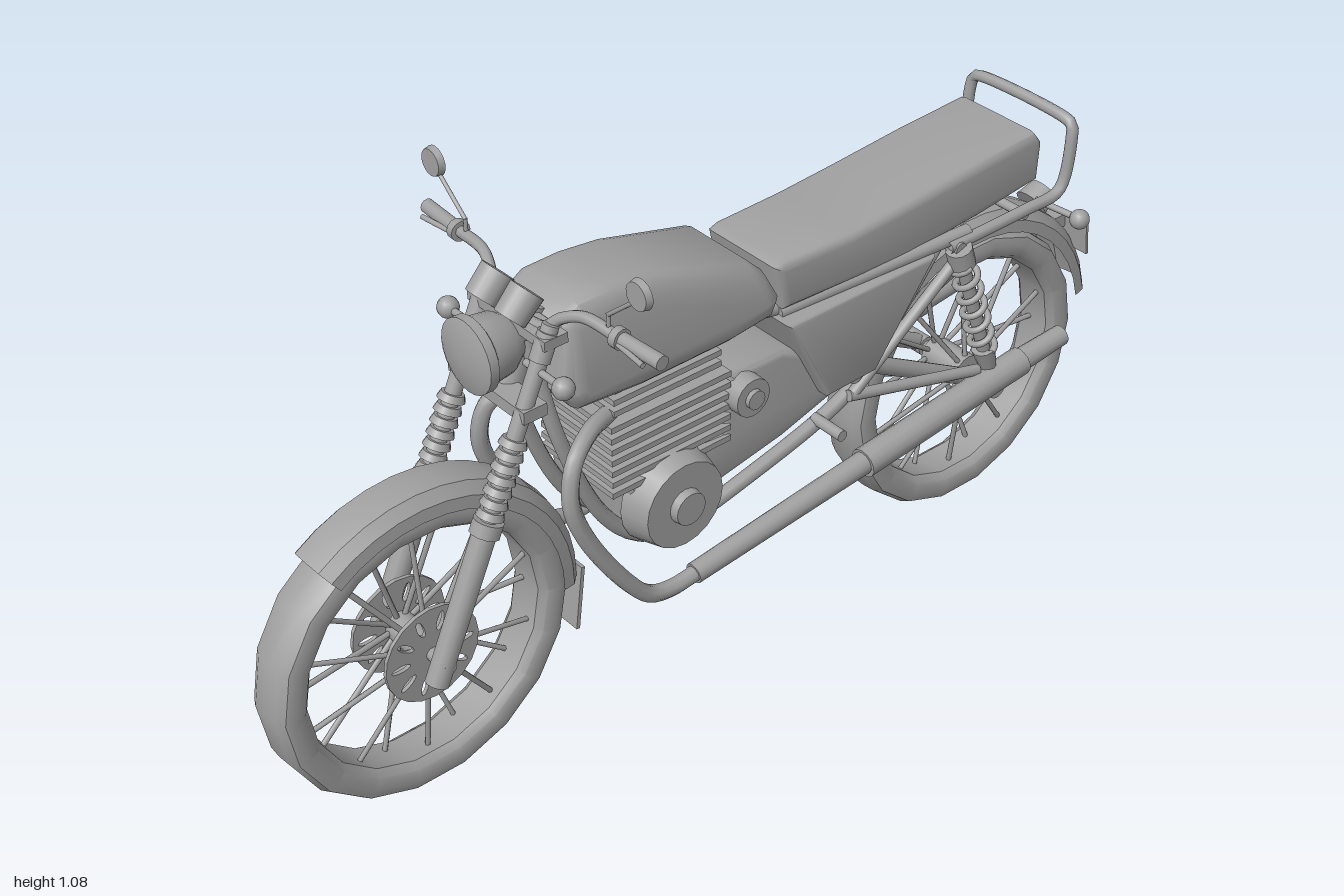
import * as THREE from 'three';
import { toCreasedNormals } from 'three/addons/utils/BufferGeometryUtils.js';

const grey = new THREE.MeshStandardMaterial({ color: 0xa0a0a0, side: THREE.DoubleSide });
grey.name = 'grey';
const UP = new THREE.Vector3(0, 1, 0);
const V = (p) => new THREE.Vector3(...p);

export function createModel() {
  const root = new THREE.Group();
  root.name = 'motorcycle';

  const add = (name, geo, parent = root) => {
    const m = new THREE.Mesh(geo, grey);
    m.name = name;
    parent.add(m);
    return m;
  };
  const box = (name, w, h, d, x, y, z) => {
    const m = add(name, new THREE.BoxGeometry(w, h, d));
    m.position.set(x, y, z);
    return m;
  };
  // Straight bar from a to b, optionally tapered
  const rod = (name, a, b, r, r2 = r, sides = 12, parent = root) => {
    const p = V(a), d = V(b).sub(p);
    const m = add(name, new THREE.CylinderGeometry(r2, r, d.length(), sides), parent);
    m.position.copy(p).addScaledVector(d, 0.5);
    m.quaternion.setFromUnitVectors(UP, d.normalize());
    return m;
  };
  const tube = (name, pts, r, segs = 32) => add(name, new THREE.TubeGeometry(
    new THREE.CatmullRomCurve3(pts.map(V), false, 'centripetal'), segs, r, 8));
  // Side outline given as [z, y], extruded across the bike with rounded edges
  const slab = (name, pts, half, bevel, x = 0, widthAt = () => 1) => {
    const shape = new THREE.Shape(pts.map((p) => new THREE.Vector2(...p)));
    const g = new THREE.ExtrudeGeometry(shape, {
      depth: 2 * (half - bevel), bevelEnabled: bevel > 0, bevelThickness: bevel,
      bevelSize: bevel, bevelOffset: -bevel, bevelSegments: 3,
    });
    g.translate(0, 0, bevel - half).rotateY(-Math.PI / 2);
    const p = g.attributes.position;
    for (let i = 0; i < p.count; i++) p.setX(i, p.getX(i) * widthAt(p.getZ(i), p.getY(i)));
    const m = add(name, toCreasedNormals(g, 0.7));
    m.position.x = x;
    return m;
  };
  // Profile given as [radius, x], turned about the wheel axle
  const spin = (name, prof, segs, parent, start = 0, len = 360) => {
    const rad = Math.PI / 180;
    const g = new THREE.LatheGeometry(prof.map((p) => new THREE.Vector2(...p)), segs, -(start + len) * rad, len * rad);
    return add(name, toCreasedNormals(g.rotateZ(-Math.PI / 2), 0.65), parent);
  };
  const mirrored = (fn) => [1, -1].forEach((s) => fn(s));

  // Wheels
  function wheel(name, z, hubR) {
    const w = new THREE.Group();
    w.name = name;
    w.position.set(0, 0.318, z);
    root.add(w);
    spin('tyre', [[0.25, -0.035], [0.262, -0.05], [0.285, -0.056], [0.303, -0.05], [0.313, -0.03], [0.315, 0],
      [0.313, 0.03], [0.303, 0.05], [0.285, 0.056], [0.262, 0.05], [0.25, 0.035], [0.25, -0.035]], 18, w);
    rod('hub', [-0.05, 0, 0], [0.05, 0, 0], hubR, hubR, 16, w);
    rod('axle', [-0.11, 0, 0], [0.11, 0, 0], 0.014, 0.014, 10, w);
    for (let i = 0; i < 20; i++) {
      const a = (i / 20) * Math.PI * 2, s = i % 2 ? 1 : -1;
      const c = Math.cos(a), n = Math.sin(a);
      rod('spoke', [s * 0.04, n * 0.025, c * 0.025], [s * 0.012, n * 0.255, c * 0.255], 0.0055, 0.0055, 6, w);
    }
    return w;
  }
  const front = wheel('frontWheel', 0.69, 0.03);
  wheel('rearWheel', -0.66, 0.035);

  // Drilled brake discs
  const disc = new THREE.Shape().absarc(0, 0, 0.1, 0, Math.PI * 2);
  for (let i = 0; i < 10; i++) {
    const a = (i / 10) * Math.PI * 2;
    disc.holes.push(new THREE.Path().absellipse(0.068 * Math.cos(a), 0.068 * Math.sin(a), 0.02, 0.007, 0, Math.PI * 2, true, a));
  }
  const discGeo = new THREE.ExtrudeGeometry(disc, { depth: 0.008, bevelEnabled: false, curveSegments: 10 }).rotateY(Math.PI / 2);
  mirrored((s) => { add('brakeDisc', discGeo, front).position.x = s * 0.052 - 0.004; });

  // Mudguards
  const guard = (r) => [[r - 0.045, -0.059], [r - 0.02, -0.056], [r, -0.036], [r + 0.004, 0], [r, 0.036], [r - 0.02, 0.056], [r - 0.045, 0.059]];
  spin('frontMudguard', guard(0.338), 14, root, 54, 128).position.set(0, 0.318, 0.69);
  const flap = box('mudFlap', 0.1, 0.14, 0.008, 0, 0.26, 0.355);
  flap.rotation.x = -0.12;
  spin('rearMudguard', guard(0.36), 14, root, 40, 129).position.set(0, 0.318, -0.66);

  // Front fork: sliders, ribbed boots, stanchions
  mirrored((s) => {
    const at = (t) => [s * 0.09, 0.3 + 0.62 * t, 0.7 - 0.275 * t];
    rod('forkSlider', at(-0.03), at(0.43), 0.023);
    rod('forkCollar', at(0.41), at(0.45), 0.029);
    rod('forkTube', at(0.43), at(1), 0.016);
    for (let i = 0; i < 7; i++) rod('bootRib', at(0.46 + i * 0.034), at(0.48 + i * 0.034), 0.027, 0.022);
    rod('forkCap', at(0.9), at(0.98), 0.02);
    rod('frontSignalStem', [s * 0.06, 0.843, 0.46], [s * 0.15, 0.843, 0.46], 0.007);
    add('frontSignal', new THREE.SphereGeometry(0.021, 12, 8)).position.set(s * 0.165, 0.843, 0.46);
  });
  box('lowerClamp', 0.22, 0.025, 0.05, 0, 0.77, 0.48);
  box('upperClamp', 0.22, 0.02, 0.05, 0, 0.895, 0.43);
  rod('steeringHead', [0, 0.76, 0.46], [0, 0.91, 0.4], 0.03);

  // Headlamp, with the bowl closing toward the rear
  const lampProfile = [[0, -0.06], [0.035, -0.055], [0.058, -0.02], [0.064, 0.025], [0.072, 0.03], [0.072, 0.048], [0.062, 0.052], [0, 0.062]];
  const lamp = add('headlamp', toCreasedNormals(new THREE.LatheGeometry(lampProfile.map((p) => new THREE.Vector2(...p)), 24).rotateX(Math.PI / 2), 0.6));
  lamp.position.set(0, 0.858, 0.492);

  // Instruments, handlebar and mirrors
  mirrored((s) => {
    rod('gauge', [s * 0.041, 0.928, 0.475], [s * 0.041, 0.969, 0.435], 0.031, 0.033, 18);
    rod('grip', [s * 0.225, 0.944, 0.386], [s * 0.33, 0.944, 0.38], 0.014);
    rod('gripCollar', [s * 0.218, 0.944, 0.387], [s * 0.234, 0.944, 0.386], 0.02);
    rod('lever', [s * 0.22, 0.94, 0.395], [s * 0.31, 0.94, 0.405], 0.005);
    rod('mirrorPost', [s * 0.2, 0.945, 0.388], [s * 0.2, 0.98, 0.388], 0.0045, 0.0045, 6);
    rod('mirrorStem', [s * 0.2, 0.978, 0.388], [s * 0.285, 1.05, 0.388], 0.0045, 0.0045, 6);
    rod('mirror', [s * 0.285, 1.058, 0.384], [s * 0.285, 1.058, 0.397], 0.029, 0.026, 18);
  });
  tube('handlebar', [[-0.23, 0.944, 0.386], [-0.14, 0.946, 0.395], [-0.1, 0.93, 0.41], [-0.07, 0.905, 0.425], [0, 0.9, 0.43],
    [0.07, 0.905, 0.425], [0.1, 0.93, 0.41], [0.14, 0.946, 0.395], [0.23, 0.944, 0.386]], 0.011, 40);

  // Tank, narrower at the top; seat, narrower at its nose
  slab('fuelTank', [[0.4, 0.9], [0.36, 0.928], [0.28, 0.93], [0.19, 0.92], [-0.02, 0.862], [-0.058, 0.825], [-0.085, 0.77],
    [-0.065, 0.73], [0.04, 0.718], [0.24, 0.716], [0.385, 0.727], [0.412, 0.765]], 0.118, 0.035, 0,
  (z, y) => 1 - 0.22 * THREE.MathUtils.smoothstep(y, 0.76, 0.93));
  slab('seat', [[-0.078, 0.825], [-0.1, 0.833], [-0.26, 0.832], [-0.4, 0.842], [-0.58, 0.857], [-0.75, 0.866], [-0.77, 0.84],
    [-0.765, 0.755], [-0.6, 0.735], [-0.4, 0.72], [-0.1, 0.726]], 0.108, 0.018, 0, (z) => (z > -0.2 ? 0.93 : 1));
  slab('sidePanels', [[-0.085, 0.712], [-0.465, 0.716], [-0.315, 0.512], [-0.19, 0.508]], 0.13, 0.012);

  // Engine: finned cylinder, crankcase, round covers
  box('cylinderBlock', 0.16, 0.22, 0.23, 0, 0.6, 0.17);
  for (let i = 0; i < 9; i++) {
    const d = i > 6 ? 0.25 : 0.28;
    box('coolingFin', i > 6 ? 0.19 : 0.21, 0.012, d, 0, 0.508 + i * 0.024, 0.175);
  }
  slab('crankcase', [[0.27, 0.5], [0.26, 0.4], [0.17, 0.355], [0.06, 0.41], [-0.1, 0.44], [-0.3, 0.5], [-0.31, 0.53],
    [-0.18, 0.6], [-0.1, 0.64], [0.03, 0.64], [0.05, 0.52]], 0.1, 0.015);
  mirrored((s) => {
    rod('engineCover', [s * 0.08, 0.44, 0.175], [s * 0.14, 0.44, 0.175], 0.105, 0.09, 20);
    rod('coverBoss', [s * 0.13, 0.44, 0.175], [s * 0.157, 0.44, 0.175], 0.038, 0.034, 16);
    rod('carburettor', [s * 0.05, 0.595, 0.002], [s * 0.13, 0.595, 0.002], 0.042, 0.04, 16);
    rod('carburettorCap', [s * 0.12, 0.595, 0.002], [s * 0.14, 0.595, 0.002], 0.02, 0.02, 12);
  });

  // Frame tubes, exhausts and rear suspension
  mirrored((s) => {
    tube('frameCradle', [[s * 0.03, 0.87, 0.435], [s * 0.055, 0.65, 0.395], [s * 0.06, 0.43, 0.3], [s * 0.065, 0.345, 0.21],
      [s * 0.07, 0.335, 0.12], [s * 0.08, 0.37, -0.02], [s * 0.085, 0.455, -0.28], [s * 0.085, 0.53, -0.36], [s * 0.085, 0.72, -0.52]], 0.015, 48);
    rod('topRail', [s * 0.03, 0.8, 0.43], [s * 0.07, 0.72, -0.1], 0.015);
    rod('seatRail', [s * 0.08, 0.715, -0.1], [s * 0.115, 0.725, -0.56], 0.015);
    rod('rearStay', [s * 0.1, 0.46, -0.28], [s * 0.125, 0.7, -0.55], 0.012);
    rod('lowerStay', [s * 0.1, 0.46, -0.27], [s * 0.13, 0.39, -0.6], 0.012);
    rod('swingArm', [s * 0.085, 0.53, -0.28], [s * 0.09, 0.32, -0.66], 0.018);
    rod('axleNut', [s * 0.07, 0.318, -0.66], [s * 0.135, 0.318, -0.66], 0.022);
    rod('footPeg', [s * 0.08, 0.43, -0.2], [s * 0.16, 0.43, -0.2], 0.012);

    tube('exhaustPipe', [[s * 0.07, 0.665, 0.29], [s * 0.1, 0.67, 0.36], [s * 0.125, 0.64, 0.415], [s * 0.135, 0.57, 0.432],
      [s * 0.14, 0.48, 0.405], [s * 0.148, 0.34, 0.32], [s * 0.15, 0.288, 0.27], [s * 0.15, 0.275, 0.22], [s * 0.15, 0.283, 0.14]], 0.017, 40);
    rod('mufflerFront', [s * 0.15, 0.28, 0.165], [s * 0.148, 0.328, -0.28], 0.021, 0.024, 14);
    rod('mufflerRear', [s * 0.148, 0.325, -0.27], [s * 0.145, 0.371, -0.71], 0.031, 0.03, 14);
    rod('mufflerTip', [s * 0.145, 0.371, -0.7], [s * 0.145, 0.382, -0.83], 0.025, 0.022, 14);

    const a = [s * 0.132, 0.71, -0.52], b = [s * 0.132, 0.39, -0.628];
    rod('shockBody', a, b, 0.014);
    const dir = V(b).sub(V(a)), side = new THREE.Vector3(1, 0, 0), out = dir.clone().normalize().cross(side);
    const coil = [];
    for (let i = 0; i <= 60; i++) {
      const t = i / 60, w = t * Math.PI * 12;
      coil.push(V(a).addScaledVector(dir, 0.12 + 0.72 * t).addScaledVector(side, 0.024 * Math.cos(w)).addScaledVector(out, 0.024 * Math.sin(w)).toArray());
    }
    tube('shockSpring', coil, 0.007, 120);
    rod('shockTop', a, V(a).addScaledVector(dir, 0.13).toArray(), 0.027);
    rod('shockFoot', V(a).addScaledVector(dir, 0.84).toArray(), b, 0.025, 0.018);

    // Rear signals
    rod('rearSignalStem', [s * 0.03, 0.645, -0.85], [s * 0.13, 0.645, -0.86], 0.007);
    add('rearSignal', new THREE.SphereGeometry(0.021, 12, 8)).position.set(s * 0.14, 0.645, -0.86);
  });
  rod('swingPivot', [-0.11, 0.51, -0.28], [0.11, 0.51, -0.28], 0.02);
  rod('shockCrossbar', [-0.14, 0.71, -0.52], [0.14, 0.71, -0.52], 0.014);
  rod('seatCrossbar', [-0.12, 0.7, -0.72], [0.12, 0.7, -0.72], 0.01);

  // Grab rail around the tail
  const half = [[0.125, 0.715, -0.5], [0.133, 0.725, -0.7], [0.137, 0.733, -0.785], [0.138, 0.755, -0.802], [0.138, 0.85, -0.815], [0.133, 0.872, -0.818], [0.115, 0.88, -0.818]];
  tube('grabRail', [...half, ...half.slice().reverse().map(([x, y, z]) => [-x, y, z])], 0.012, 80);

  // Tail lamp and blank plate
  const tail = rod('tailLamp', [0, 0.615, -0.87], [0, 0.635, -0.905], 0.032, 0.026, 16);
  tail.scale.x = 1.2;
  box('plateBracket', 0.04, 0.03, 0.04, 0, 0.55, -0.945);
  const plate = box('rearPlate', 0.16, 0.075, 0.006, 0, 0.53, -0.963);
  plate.rotation.x = 0.1;

  return root;
}
